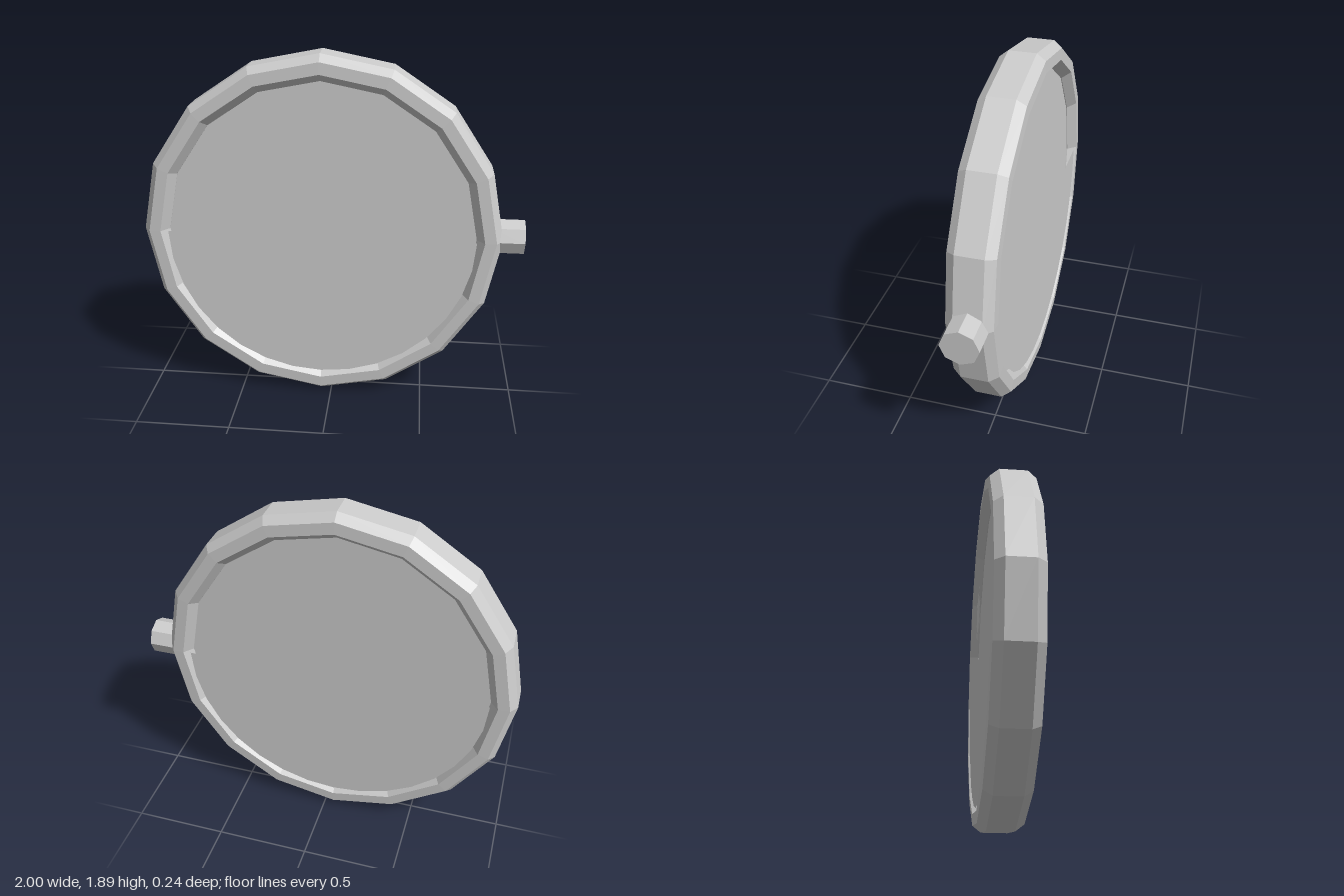
import * as THREE from 'three';

const CX = -0.055, CY = 0.945; // centre of the round frame

export function createModel() {
  const model = new THREE.Group();
  const metal = new THREE.MeshStandardMaterial({ color: 0xcccccc, flatShading: true });
  metal.name = 'light grey';
  const plate = new THREE.MeshStandardMaterial({ color: 0xcccccc, side: THREE.DoubleSide });
  plate.name = 'light grey plate';

  const add = (parent, name, geometry, material, x, y, z) => {
    const mesh = new THREE.Mesh(geometry, material);
    mesh.name = name;
    mesh.position.set(x, y, z);
    parent.add(mesh);
    return mesh;
  };

  // Sixteen-sided frame with a bevelled section: [radius, depth]
  const section = [
    [0.945, -0.07], [0.945, 0.07], [0.91, 0.115], [0.85, 0.118],
    [0.81, 0.07], [0.81, -0.07], [0.85, -0.118], [0.91, -0.115], [0.945, -0.07],
  ].map(([r, d]) => new THREE.Vector2(r, d));
  const ring = new THREE.LatheGeometry(section, 16);
  ring.rotateX(Math.PI / 2);
  add(model, 'frame', ring, metal, CX, CY, 0);

  // Eight-sided knob on the side
  const knob = new THREE.CylinderGeometry(0.095, 0.095, 0.16, 8);
  knob.rotateZ(-Math.PI / 2);
  add(model, 'knob', knob, metal, 0.92, CY, 0);

  // One pointed ray, aimed along +x
  const rayShape = new THREE.Shape([
    new THREE.Vector2(0.125, -0.02), new THREE.Vector2(0.174, 0), new THREE.Vector2(0.125, 0.02),
  ]);

  // The same picture on the front and the back
  for (const side of [1, -1]) {
    const face = new THREE.Group();
    face.name = side > 0 ? 'frontFace' : 'backFace';
    face.position.set(CX, CY, 0);
    model.add(face);

    add(face, 'sky', new THREE.CircleGeometry(0.81, 32), plate, 0, 0, side * 0.066);
    add(face, 'lowerHalf', new THREE.CircleGeometry(0.81, 16, Math.PI, Math.PI), plate, 0, 0, side * 0.11);
    add(face, 'sun', new THREE.CircleGeometry(0.11, 32), plate, 0.32, 0.39, side * 0.1);
    for (let i = 0; i < 8; i++) {
      const ray = add(face, 'sunRay', new THREE.ShapeGeometry(rayShape), plate, 0.32, 0.39, side * 0.1);
      ray.rotation.z = i * Math.PI / 4;
    }
  }
  return model;
}
